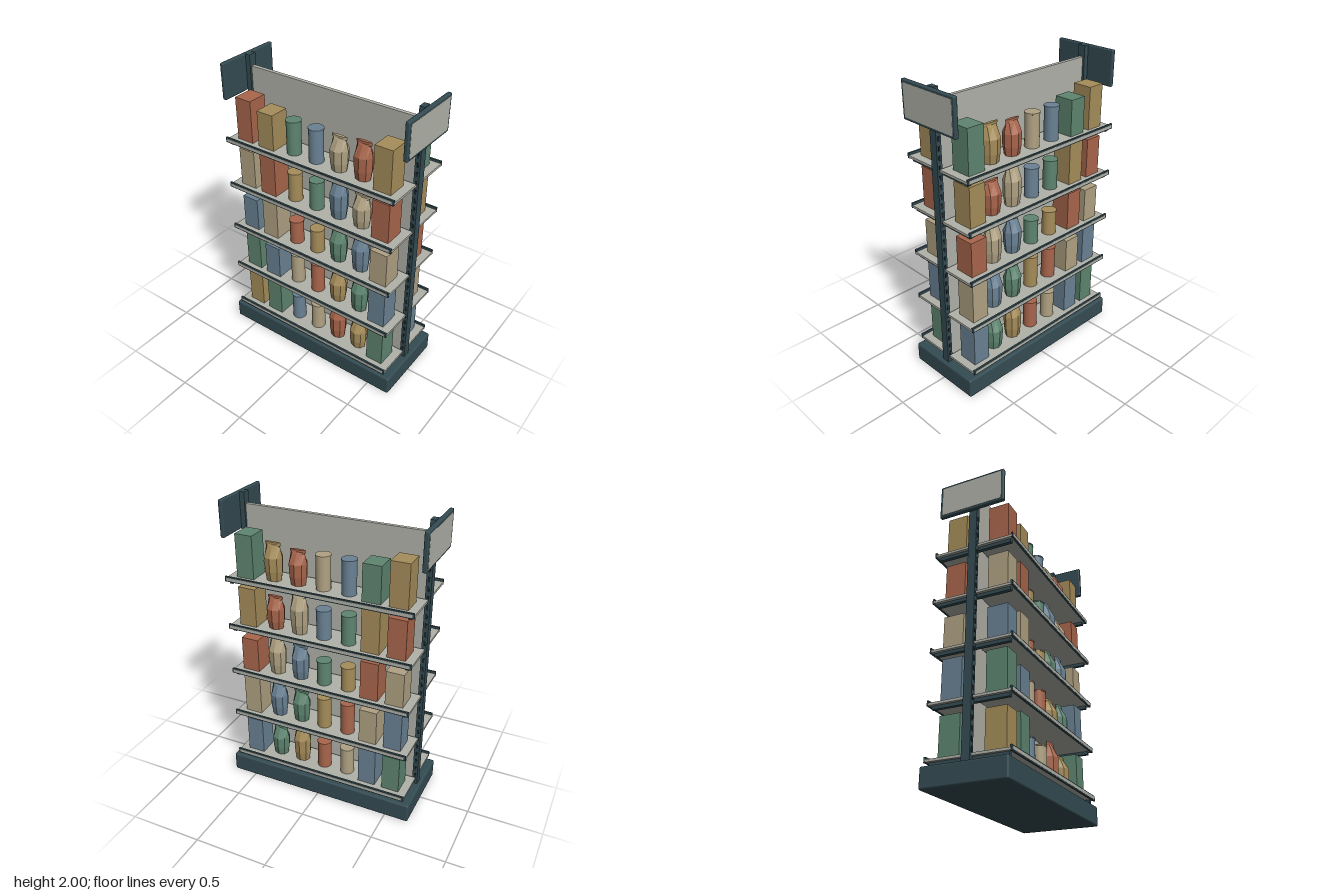
import * as THREE from 'three';
import { RoundedBoxGeometry } from 'three/addons/geometries/RoundedBoxGeometry.js';

const mat = (name, color) => Object.assign(new THREE.MeshStandardMaterial({ color }), { name });

export function createModel() {
  const root = new THREE.Group();
  root.name = 'storeShelf';
  const frame = mat('dark teal frame', 0x344c53);
  const slotDark = mat('slot black', 0x1b262a);
  const panel = mat('pale grey panel', 0xb1b2a9);
  const goods = [
    mat('brick red', 0xa9664c), mat('ochre', 0xa68d5a), mat('green', 0x5e8570),
    mat('slate blue', 0x6a8294), mat('tan', 0xb0a283),
  ];

  const add = (parent, name, geo, material, x, y, z) => {
    const m = new THREE.Mesh(geo, material);
    m.name = name;
    m.position.set(x, y, z);
    parent.add(m);
    return m;
  };
  const box = (parent, name, material, w, h, d, x, y, z) =>
    add(parent, name, new THREE.BoxGeometry(w, h, d), material, x, y, z);

  // Plinth and central back panel
  add(root, 'base', new RoundedBoxGeometry(1.328, 0.132, 0.546, 2, 0.012), frame, 0, 0.066, 0);
  box(root, 'backPanel', panel, 1.21, 1.795, 0.026, 0, 1.0275, 0);

  // Slotted end posts with outward-facing header signs
  for (const s of [-1, 1]) {
    const end = new THREE.Group();
    end.name = s > 0 ? 'leftEnd' : 'rightEnd';
    root.add(end);
    box(end, 'post', frame, 0.035, 1.87, 0.054, s * 0.6205, 1.065, 0);
    for (let y = 0.2; y < 1.76; y += 0.06)
      for (const f of [-1, 1]) box(end, 'postSlot', slotDark, 0.012, 0.03, 0.004, s * 0.6205, y, f * 0.028);
    add(end, 'signBoard', new RoundedBoxGeometry(0.028, 0.24, 0.456, 2, 0.008), frame, s * 0.651, 1.88, 0);
    box(end, 'signFace', panel, 0.004, 0.206, 0.42, s * 0.6645, 1.88, 0);
  }

  // Product shapes, each standing on y = 0
  const cartonGeo = (h) => new THREE.BoxGeometry(0.12, h, 0.136).translate(0, h / 2, 0);
  const canGeo = (h) => {
    const pts = [
      [0, 0], [0.047, 0], [0.047, 0], [0.047, h - 0.01], [0.047, h - 0.01], [0.0495, h - 0.009],
      [0.0495, h - 0.009], [0.0495, h - 0.001], [0.0495, h - 0.001], [0.048, h], [0.048, h], [0, h],
    ];
    return new THREE.LatheGeometry(pts.map(([r, y]) => new THREE.Vector2(r, y)), 24);
  };
  // Eight-sided pouch that bulges, then pinches to a flat sealed top: [height, half width, half depth]
  const pouchRings = [
    [0, 0.05, 0.044], [0.25, 0.059, 0.055], [0.62, 0.062, 0.057],
    [0.9, 0.048, 0.018], [0.94, 0.054, 0.011], [1, 0.054, 0.011],
  ];
  const pouchGeo = (h) => {
    const n = pouchRings.length - 1;
    const g = new THREE.CylinderGeometry(1, 1, 1, 8, n).toNonIndexed();
    const p = g.attributes.position;
    for (let i = 0; i < p.count; i++) {
      const [t, rx, rz] = pouchRings[Math.round((p.getY(i) + 0.5) * n)];
      p.setXYZ(i, p.getX(i) * rx, t * h, p.getZ(i) * rz);
    }
    g.computeVertexNormals();
    return g;
  };
  const makers = [cartonGeo, cartonGeo, canGeo, canGeo, pouchGeo, pouchGeo, cartonGeo];
  const names = ['carton', 'carton', 'can', 'can', 'pouch', 'pouch', 'carton'];
  const heights = [
    [0.285, 0.24, 0.225, 0.225, 0.225, 0.245, 0.285],
    [0.265, 0.285, 0.2, 0.2, 0.27, 0.22, 0.265],
    [0.235, 0.265, 0.17, 0.17, 0.24, 0.265, 0.235],
  ];

  // Five shelves on each side, counted from the top
  for (let row = 0; row < 5; row++) {
    const top = 1.514 - row * 0.3335;
    for (const s of [1, -1]) {
      const shelf = new THREE.Group();
      shelf.name = (s > 0 ? 'frontShelf' : 'backShelf') + (row + 1);
      shelf.position.y = top;
      root.add(shelf);
      box(shelf, 'shelfBoard', panel, 1.25, 0.016, 0.236, 0, -0.008, s * 0.146);
      box(shelf, 'shelfLip', frame, 1.25, 0.034, 0.012, 0, -0.002, s * 0.266);
      box(shelf, 'priceStrip', panel, 1.23, 0.02, 0.003, 0, -0.002, s * 0.2725);
      for (const e of [-1, 1])
        box(shelf, 'bracket', frame, 0.024, 0.022, 0.23, e * 0.594, -0.027, s * 0.135);
      // Seven products with colours shifted per row and side
      for (let col = 0; col < 7; col++) {
        const color = goods[(col - row + (s > 0 ? 5 : 6)) % 5];
        add(shelf, names[col], makers[col](heights[row % 3][col]), color, (col - 3) * 0.17, 0, s * 0.148);
      }
    }
  }
  return root;
}
